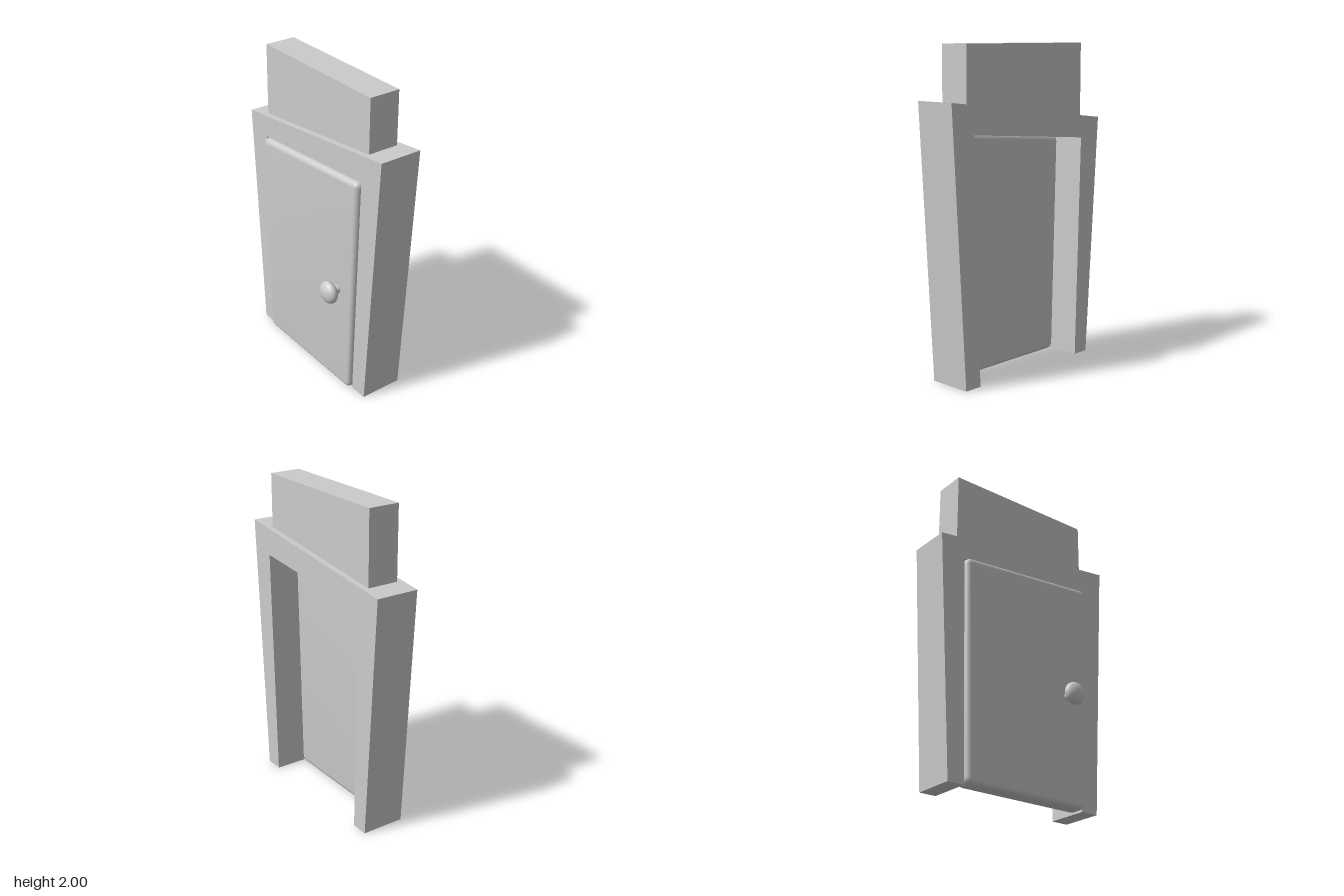
import * as THREE from 'three';
import { toCreasedNormals } from 'three/addons/utils/BufferGeometryUtils.js';

const material = new THREE.MeshStandardMaterial({ color: 0xcccccc });

function addPart(group, name, geometry, x = 0, y = 0, z = 0) {
  const mesh = new THREE.Mesh(geometry, material);
  mesh.name = name;
  mesh.position.set(x, y, z);
  group.add(mesh);
  return mesh;
}

// Closed polygon whose corners are rounded off by distance r
function roundedPolygon(corners, r) {
  const pts = corners.map(([x, y]) => new THREE.Vector2(x, y));
  const shape = new THREE.Shape();
  pts.forEach((p, i) => {
    const prev = pts[(i + pts.length - 1) % pts.length];
    const next = pts[(i + 1) % pts.length];
    const a = p.clone().add(prev.clone().sub(p).setLength(r));
    const b = p.clone().add(next.clone().sub(p).setLength(r));
    if (i === 0) shape.moveTo(a.x, a.y);
    else shape.lineTo(a.x, a.y);
    shape.quadraticCurveTo(p.x, p.y, b.x, b.y);
  });
  shape.closePath();
  return shape;
}

export function createModel() {
  const group = new THREE.Group();
  group.name = 'crookedDoor';

  // Crooked frame: two legs and a slanted lintel, open at the floor
  const frame = new THREE.Shape([
    [-0.55, 0], [-0.44, 0], [-0.477, 1.41], [0.473, 1.49],
    [0.428, 0], [0.545, 0], [0.643, 1.68], [-0.645, 1.53],
  ].map(([x, y]) => new THREE.Vector2(x, y)));
  addPart(group, 'frame',
    new THREE.ExtrudeGeometry(frame, { depth: 0.275, bevelEnabled: false }), 0, 0, -0.208);

  // Door panel with softened edges, standing slightly proud of the frame
  const bevel = 0.03;
  const panel = roundedPolygon(
    [[-0.44, 0.003], [0.428, 0.003], [0.473, 1.49], [-0.477, 1.41]], 0.04);
  const panelGeometry = new THREE.ExtrudeGeometry(panel, {
    depth: 0.06, curveSegments: 6,
    bevelEnabled: true, bevelThickness: bevel, bevelSize: bevel,
    bevelOffset: -bevel, bevelSegments: 4,
  });
  addPart(group, 'door', toCreasedNormals(panelGeometry, 0.7), 0, 0, 0.01);

  // Block rising out of the lintel
  addPart(group, 'topBlock', new THREE.BoxGeometry(1, 0.49, 0.2), -0.01, 1.755, -0.07);

  // Knob on a short stem
  const stem = new THREE.CylinderGeometry(0.028, 0.028, 0.08, 20).rotateX(Math.PI / 2);
  addPart(group, 'knobStem', stem, 0.305, 0.7, 0.12);
  const knob = new THREE.SphereGeometry(0.072, 28, 18).rotateX(Math.PI / 2).scale(1, 1, 0.6);
  addPart(group, 'knob', knob, 0.305, 0.7, 0.164);

  return group;
}
